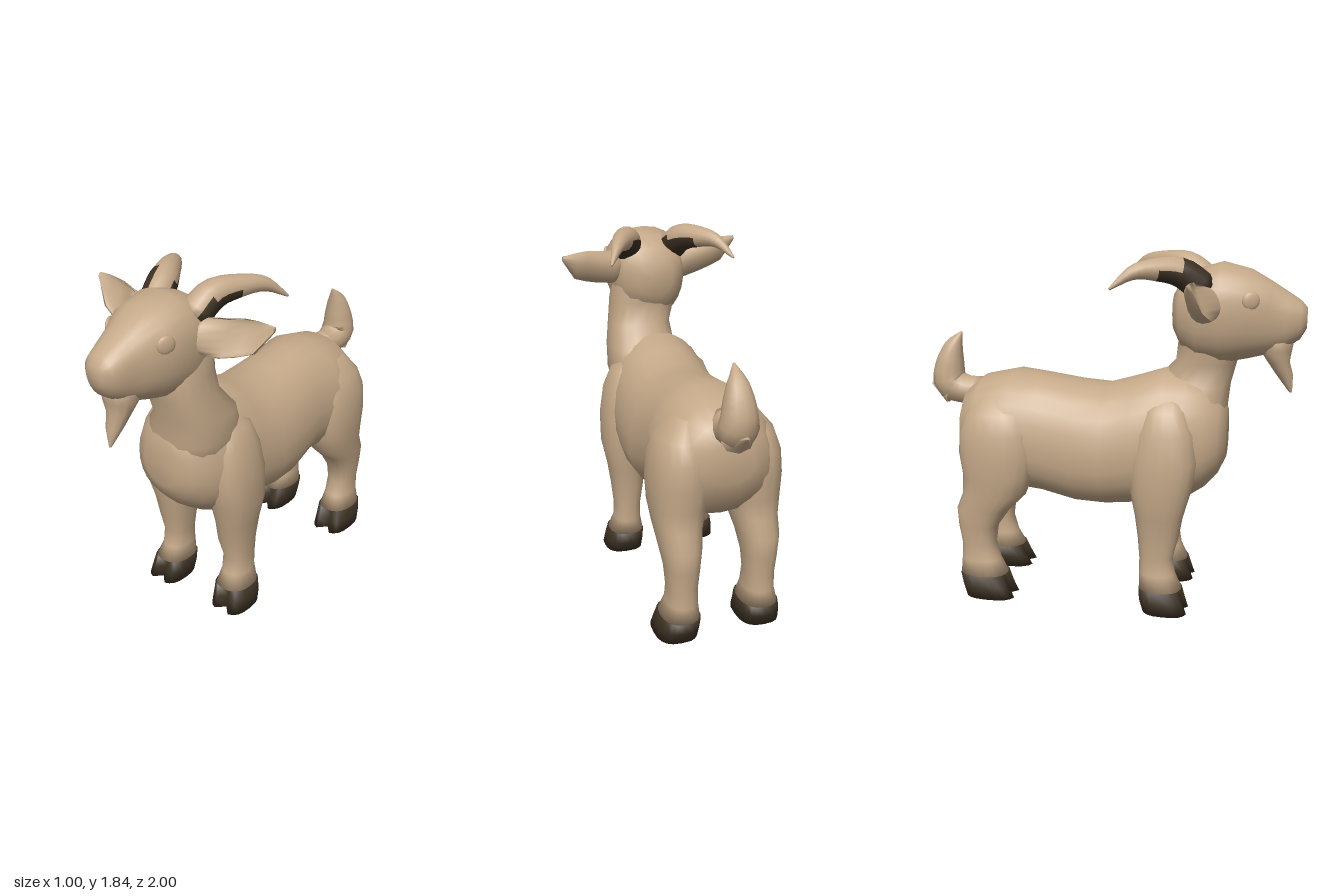
import * as THREE from 'three';

const coat = new THREE.MeshStandardMaterial({ color: 0xc4a888, side: THREE.DoubleSide });
coat.name = 'tan coat';
const dark = new THREE.MeshStandardMaterial({ color: 0x3b3022, side: THREE.DoubleSide });
dark.name = 'dark horn and hoof';

const V = (x, y, z) => new THREE.Vector3(x, y, z);

// Skin a closed surface over rings {c, u, v}: centre and two half axes.
// n squares the section, taper widens its +v side, cup hollows its +v side,
// notch cuts a cleft into +v, isDark(t, angle) picks the dark faces.
function loft(name, rings, { mat = coat, seg = 20, n = 2, taper = 0, notch = 0, isDark = null } = {}) {
  const pos = [];
  const power = (a) => Math.sign(a) * Math.pow(Math.abs(a), 2 / n);
  for (const r of rings) {
    for (let j = 0; j < seg; j++) {
      const a = (j / seg) * Math.PI * 2;
      let s = power(Math.sin(a));
      const w = power(Math.cos(a)) * (1 + taper * s);
      if (r.cup && s > 0) s *= -r.cup;
      if (j === seg / 4) s -= notch;
      pos.push(...r.c.clone().addScaledVector(r.u, w).addScaledVector(r.v, s).toArray());
    }
  }
  const last = rings.length - 1, c0 = pos.length / 3;
  pos.push(...rings[0].c.toArray(), ...rings[last].c.toArray());
  const lists = [[], []];
  for (let j = 0; j < seg; j++) {
    const k = (j + 1) % seg;
    for (let i = 0; i < last; i++) {
      const a = i * seg + j, b = i * seg + k;
      lists[isDark && isDark(i / last, (j + 0.5) / seg * Math.PI * 2) ? 1 : 0]
        .push(a, b, a + seg, b, b + seg, a + seg);
    }
    lists[0].push(c0, k, j, c0 + 1, last * seg + j, last * seg + k);
  }
  // Turn the faces outward whichever way the rings run.
  const p = (i) => V(pos[3 * i], pos[3 * i + 1], pos[3 * i + 2]);
  let volume = 0;
  for (const l of lists) for (let i = 0; i < l.length; i += 3) volume += p(l[i]).dot(p(l[i + 1]).cross(p(l[i + 2])));
  if (volume < 0) lists.forEach((l) => l.reverse());
  const g = new THREE.BufferGeometry();
  g.setAttribute('position', new THREE.Float32BufferAttribute(pos, 3));
  g.setIndex([...lists[0], ...lists[1]]);
  if (isDark) {
    g.addGroup(0, lists[0].length, 0);
    g.addGroup(lists[0].length, lists[1].length, 1);
  }
  g.computeVertexNormals();
  const mesh = new THREE.Mesh(g, isDark ? [coat, dark] : mat);
  mesh.name = name;
  return mesh;
}

// Ring across z: z, low y, high y, half width
const ringZ = ([z, lo, hi, w]) => ({ c: V(0, (lo + hi) / 2, z), u: V(w, 0, 0), v: V(0, (hi - lo) / 2, 0) });
// Ring across y: y, back z, front z, centre x, half width
const ringY = ([y, b, f, x, w]) => ({ c: V(x, y, (b + f) / 2), u: V(w, 0, 0), v: V(0, 0, (f - b) / 2) });

// Rings along a curve, with radii spread evenly over its length
function sweep(points, radii, ref, count = 14) {
  const curve = new THREE.CatmullRomCurve3(points);
  return Array.from({ length: count + 1 }, (_, i) => {
    const t = i / count, f = t * (radii.length - 1), k = Math.min(Math.floor(f), radii.length - 2);
    const r = THREE.MathUtils.lerp(radii[k], radii[k + 1], f - k);
    const tan = curve.getTangent(t);
    const u = tan.clone().cross(ref).normalize();
    const v = u.clone().cross(tan).normalize();
    return { c: curve.getPoint(t), u: u.multiplyScalar(r), v: v.multiplyScalar(r) };
  });
}

// Leg and cloven hoof from their rows; dz sets the leg a little back or forward
function leg(name, s, dz, rows, hoofRows) {
  const group = new THREE.Group();
  group.name = name;
  const rings = (list) => list.map(([y, b, f, x, w]) => ringY([y, b, f, x * s, w]));
  group.add(loft(name + 'Limb', rings(rows), { n: 2.3 }));
  group.add(loft(name + 'Hoof', rings(hoofRows), { mat: dark, n: 2.8, notch: 0.4 }));
  group.position.z = dz;
  return group;
}

export function createModel() {
  const goat = new THREE.Group();
  goat.name = 'goat';

  // Trunk, from rump to chest, narrower along the back
  goat.add(loft('body', [
    [-0.805, 0.82, 1.02, 0.12], [-0.77, 0.70, 1.11, 0.21], [-0.68, 0.62, 1.18, 0.275],
    [-0.50, 0.58, 1.22, 0.305], [-0.35, 0.56, 1.205, 0.27], [-0.15, 0.52, 1.175, 0.30],
    [0.00, 0.515, 1.165, 0.30], [0.15, 0.53, 1.21, 0.29], [0.30, 0.54, 1.26, 0.285],
    [0.42, 0.57, 1.25, 0.27], [0.52, 0.64, 1.20, 0.23], [0.59, 0.72, 1.14, 0.18],
    [0.625, 0.80, 1.06, 0.11],
  ].map(ringZ), { n: 2.2, seg: 24, taper: -0.08 }));

  // Neck, leaning a little to the left
  goat.add(loft('neck', [
    [0.88, 0.22, 0.61, 0.01, 0.20], [1.05, 0.18, 0.62, 0.02, 0.235], [1.18, 0.24, 0.63, 0.065, 0.185],
    [1.30, 0.345, 0.66, 0.055, 0.17], [1.42, 0.36, 0.68, 0.03, 0.18], [1.58, 0.345, 0.66, 0.01, 0.18],
    [1.66, 0.38, 0.62, 0, 0.14],
  ].map(ringY), { n: 2.4 }));

  // Head and muzzle, narrower toward the jaw
  goat.add(loft('head', [
    [0.34, 1.46, 1.65, 0.10], [0.38, 1.38, 1.72, 0.165], [0.46, 1.32, 1.775, 0.20],
    [0.58, 1.30, 1.81, 0.212], [0.72, 1.33, 1.775, 0.19], [0.82, 1.355, 1.72, 0.135],
    [0.90, 1.385, 1.67, 0.112], [0.97, 1.435, 1.625, 0.088], [1.00, 1.49, 1.59, 0.05],
  ].map(ringZ), { n: 2.3, seg: 24, taper: 0.08 }));

  // Beard
  goat.add(loft('beard', [
    [1.48, 0.76, 0.95, 0, 0.10], [1.38, 0.77, 0.935, 0, 0.09], [1.32, 0.81, 0.925, 0, 0.065],
    [1.25, 0.86, 0.945, 0, 0.043], [1.16, 0.93, 0.945, 0, 0.005],
  ].map(ringY), { seg: 12 }));

  // Tail, curling upward, with a small tuft behind
  goat.add(loft('tail', sweep(
    [V(0, 1.09, -0.70), V(0, 1.09, -0.81), V(0, 1.13, -0.89), V(0, 1.25, -0.885), V(0, 1.33, -0.86), V(0, 1.405, -0.815)],
    [0.075, 0.08, 0.095, 0.075, 0.05, 0.005], V(1, 0, 0)), { seg: 12 }));
  const tuft = new THREE.Mesh(new THREE.ConeGeometry(0.06, 0.13, 8), coat);
  tuft.name = 'tailTuft';
  tuft.scale.x = 1.35;
  tuft.position.set(0, 1.09, -0.942);
  tuft.rotation.x = -1.2;
  goat.add(tuft);

  for (const s of [1, -1]) {
    const side = s > 0 ? 'left' : 'right';

    // Front leg with shoulder
    goat.add(leg(side + 'FrontLeg', s, -0.01 * s, [
      [1.15, 0.27, 0.40, 0.15, 0.04], [1.08, 0.21, 0.43, 0.185, 0.08], [0.97, 0.17, 0.47, 0.20, 0.11],
      [0.82, 0.14, 0.49, 0.205, 0.127], [0.66, 0.145, 0.46, 0.212, 0.122], [0.52, 0.17, 0.42, 0.205, 0.10],
      [0.40, 0.185, 0.40, 0.20, 0.088], [0.29, 0.195, 0.37, 0.205, 0.074], [0.20, 0.195, 0.385, 0.205, 0.074],
      [0.12, 0.195, 0.42, 0.21, 0.096],
    ], [
      [0.12, 0.195, 0.422, 0.21, 0.097], [0.06, 0.20, 0.44, 0.217, 0.103], [0, 0.22, 0.46, 0.222, 0.105],
    ]));

    // Hind leg with haunch
    goat.add(leg(side + 'HindLeg', s, -0.015 * s, [
      [1.11, -0.68, -0.46, 0.15, 0.06], [1.02, -0.75, -0.40, 0.17, 0.12], [0.92, -0.785, -0.37, 0.18, 0.145],
      [0.80, -0.79, -0.36, 0.185, 0.15], [0.68, -0.77, -0.39, 0.195, 0.135], [0.58, -0.775, -0.43, 0.20, 0.115],
      [0.49, -0.81, -0.52, 0.205, 0.10], [0.39, -0.805, -0.59, 0.205, 0.085], [0.29, -0.79, -0.605, 0.205, 0.076],
      [0.20, -0.795, -0.58, 0.205, 0.077], [0.12, -0.80, -0.54, 0.21, 0.096],
    ], [
      [0.12, -0.80, -0.538, 0.21, 0.097], [0.06, -0.785, -0.515, 0.217, 0.103], [0, -0.765, -0.485, 0.222, 0.105],
    ]));

    // Ear, hollow in front; the right one sits higher and further forward
    const up = s > 0 ? 0 : 0.05, fwd = s > 0 ? 0 : 0.09;
    goat.add(loft(side + 'Ear', [
      [0.15, 1.61, 0.49, 0.07, 0.07, 0], [0.21, 1.61, 0.49, 0.09, 0.08, 0], [0.29, 1.62, 0.485, 0.093, 0.08, 0.25],
      [0.36, 1.632, 0.455, 0.09, 0.07, 0.3], [0.43, 1.64, 0.425, 0.076, 0.05, 0.3], [0.50, 1.685, 0.385, 0.015, 0.012, 0],
    ].map(([x, y, z, h, d, cup]) => {
      const t = (x - 0.15) / 0.35, lean = 0.4, co = Math.cos(lean), si = Math.sin(lean);
      return { c: V(x * s, y + up * t, z + fwd * t), u: V(0, h * co, -h * si), v: V(0, d * si, d * co), cup };
    }), { seg: 16, n: 2.3 }));

    // Horn sweeping back and outward, dark beneath its base
    const out = s > 0 ? 0 : 0.025;
    goat.add(loft(side + 'Horn', sweep([
      V(0.12 * s, 1.68, 0.50), V((0.145 + out / 2) * s, 1.765, 0.39), V((0.20 + out) * s, 1.785, 0.27),
      V((0.26 + out) * s, 1.775, 0.15 + out), V((0.32 + out) * s, 1.70, 0.045 + out),
    ], [0.08, 0.075, 0.056, 0.036, 0.006], V(0, 1, 0)), {
      seg: 14,
      isDark: (t, a) => (t < 0.48 && Math.sin(a) < 0.4 - t) || (s < 0 && t < 0.28 && Math.cos(a) < -0.35),
    }));

    // Eye, a barely raised bulge
    const eye = new THREE.Mesh(new THREE.SphereGeometry(0.045, 16, 10), coat);
    eye.name = side + 'Eye';
    eye.scale.x = 0.35;
    eye.position.set(0.175 * s, 1.64, 0.73);
    eye.rotation.y = -0.4 * s;
    goat.add(eye);
  }
  return goat;
}
